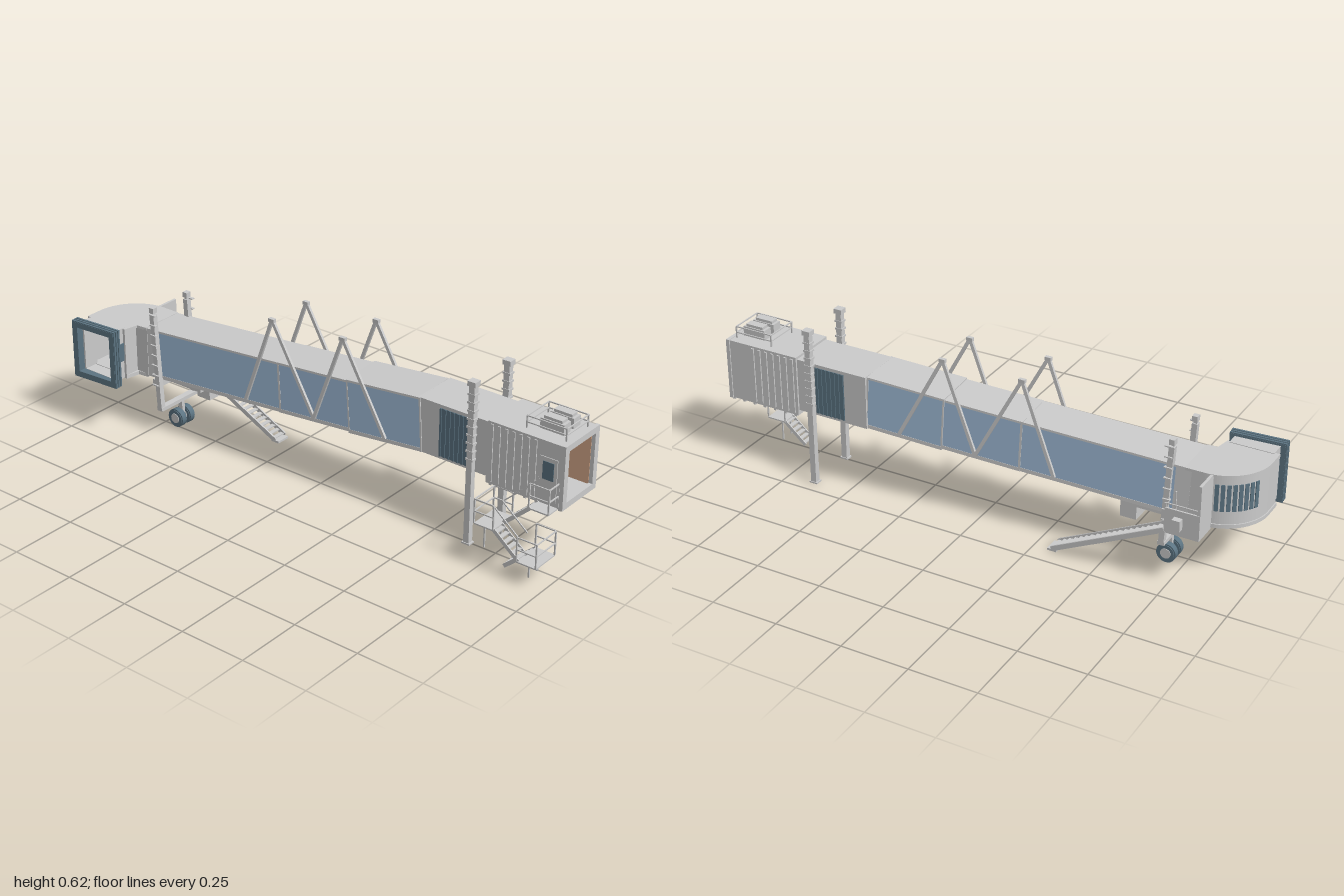
import * as THREE from 'three';

const mat = (color) => new THREE.MeshStandardMaterial({ color, side: THREE.DoubleSide });
const grey = mat(0xcccccc), glass = mat(0xa0bcd8), dark = mat(0x5c7482), tan = mat(0xd9ab8c);

export function createModel() {
  const model = new THREE.Group();
  const group = (name, parent = model) => {
    const g = new THREE.Group();
    g.name = name;
    parent.add(g);
    return g;
  };
  const add = (parent, name, geo, m = grey) => {
    const mesh = new THREE.Mesh(geo, m);
    mesh.name = name;
    parent.add(mesh);
    return mesh;
  };
  // box given by its low and high corner on each axis
  const box = (parent, name, x0, x1, y0, y1, z0, z1, m = grey) => {
    const mesh = add(parent, name, new THREE.BoxGeometry(x1 - x0, y1 - y0, z1 - z0), m);
    mesh.position.set((x0 + x1) / 2, (y0 + y1) / 2, (z0 + z1) / 2);
    return mesh;
  };
  // turn an object so its own x axis runs from a to b
  const aim = (obj, a, b) => {
    const [dx, dy, dz] = [b[0] - a[0], b[1] - a[1], b[2] - a[2]];
    obj.rotation.set(0, Math.atan2(-dz, dx), Math.atan2(dy, Math.hypot(dx, dz)), 'YZX');
    obj.position.set((a[0] + b[0]) / 2, (a[1] + b[1]) / 2, (a[2] + b[2]) / 2);
    return Math.hypot(dx, dy, dz);
  };
  const beam = (parent, name, a, b, h = 0.005, w = h, m = grey) => {
    const mesh = add(parent, name, new THREE.BoxGeometry(1, h, w), m);
    mesh.scale.x = aim(mesh, a, b);
    return mesh;
  };
  // open rectangular frame, extruded along z
  const ring = (w, h, t, d) => {
    const rect = (P, x, y) => new P([[-x, -y], [x, -y], [x, y], [-x, y]].map((p) => new THREE.Vector2(...p)));
    const s = rect(THREE.Shape, w / 2, h / 2);
    s.holes.push(rect(THREE.Path, w / 2 - t, h / 2 - t));
    return new THREE.ExtrudeGeometry(s, { depth: d, bevelEnabled: false }).translate(0, 0, -d / 2);
  };
  // rectangular guard rail around a platform
  const guard = (parent, x0, x1, y, h, z0, z1, open = '') => {
    const c = [[x0, z0], [x1, z0], [x1, z1], [x0, z1]];
    c.forEach(([x, z], i) => {
      beam(parent, 'railPost', [x, y, z], [x, y + h, z]);
      const [x2, z2] = c[(i + 1) % 4];
      if (open.includes('brfl'[i])) return;
      for (const k of [0.5, 1]) beam(parent, 'rail', [x, y + h * k, z], [x2, y + h * k, z2], 0.004);
    });
  };
  // flight of steps along x
  const flight = (parent, a, b, z, w, n, rail = 0) => {
    for (const s of [-1, 1]) {
      const zz = z + s * w / 2;
      beam(parent, 'stringer', [...a, zz], [...b, zz], 0.014, 0.004);
      if (rail) beam(parent, 'handrail', [a[0], a[1] + rail, zz], [b[0], b[1] + rail, zz], 0.004);
    }
    for (let i = 0; i < n; i++) {
      const t = (i + 0.5) / n, x = a[0] + (b[0] - a[0]) * t, y = a[1] + (b[1] - a[1]) * t;
      box(parent, 'tread', x - 0.008, x + 0.008, y - 0.002, y + 0.002, z - w / 2, z + w / 2);
    }
  };

  // telescopic tunnel: glazed sections sharing one sloping line
  const axis = [[-0.77, 0.314, -0.01], [-0.165, 0.343, -0.05], [0.13, 0.358, -0.069], [0.42, 0.376, -0.089]];
  [[0.17, 0.192], [0.172, 0.194], [0.178, 0.202]].forEach(([w, h], i) => {
    const g = group('tunnelSection' + (i + 1));
    const L = aim(g, axis[i], axis[i + 1]) / 2 + 0.004;
    box(g, 'roof', -L, L, h / 2 - 0.008, h / 2, -w / 2, w / 2);
    box(g, 'floor', -L, L, -h / 2, -h / 2 + 0.014, -w / 2, w / 2);
    for (const s of [-1, 1]) {
      const z = s * (w / 2 - 0.005);
      const start = i ? -L + 0.006 : -L + 0.055;
      box(g, 'glassWall', start, L - 0.006, -h / 2 + 0.014, h / 2 - 0.008, z - 0.004, z + 0.004, glass);
      box(g, 'endPanel', -L, start, -h / 2, h / 2, z - 0.005, z + 0.005);
      box(g, 'endFrame', L - 0.006, L, -h / 2, h / 2, z - 0.006, z + 0.006);
    }
  });

  // inverted V struts on both sides
  const struts = group('tunnelStruts');
  const zig = [[-0.3, 0.26], [-0.18, 0.602], [-0.005, 0.272], [0.115, 0.612], [0.29, 0.282]];
  for (const s of [-1, 1]) {
    const pts = zig.map(([x, y]) => [x, y, -0.061 - 0.066 * x + s * 0.093]);
    for (let i = 0; i < 4; i++) beam(struts, 'strut', pts[i], pts[i + 1], 0.012, 0.01);
    for (const [x, y, z] of [pts[1], pts[3]]) box(struts, 'strutCap', x - 0.012, x + 0.012, y - 0.008, y + 0.005, z - 0.007, z + 0.007);
  }

  // level corridor with slatted dark panels
  const corridor = group('corridor');
  add(corridor, 'corridorShell', ring(0.182, 0.202, 0.012, 0.29).rotateY(Math.PI / 2)).position.set(0.56, 0.376, -0.094);
  for (const z of [-0.003, -0.185]) {
    box(corridor, 'slatPanel', 0.505, 0.625, 0.285, 0.465, z - 0.002, z + 0.002, dark);
    for (let i = 0; i < 7; i++) box(corridor, 'slat', 0.506 + i * 0.0178, 0.513 + i * 0.0178, 0.285, 0.465, z - 0.005, z + 0.005, dark);
  }

  // support pillars
  for (const z of [0.006, -0.195]) {
    const g = group('supportPillar');
    box(g, 'pillar', 0.629, 0.651, 0, 0.6, z - 0.011, z + 0.011);
    box(g, 'pillarCap', 0.624, 0.656, 0.594, 0.612, z - 0.015, z + 0.015);
    box(g, 'pillarFoot', 0.624, 0.656, 0, 0.006, z - 0.014, z + 0.014);
    for (let i = 0; i < 9; i++) box(g, 'pinLug', 0.625, 0.655, 0.32 + i * 0.03, 0.327 + i * 0.03, z - 0.013, z + 0.013);
  }

  // terminal cabin with ribbed walls and tan lining
  const cabin = group('terminalCabin');
  add(cabin, 'cabinShell', ring(0.196, 0.23, 0.014, 0.29).rotateY(Math.PI / 2)).position.set(0.85, 0.371, -0.094);
  add(cabin, 'endFrame', ring(0.202, 0.234, 0.023, 0.014).rotateY(Math.PI / 2)).position.set(0.992, 0.371, -0.095);
  add(cabin, 'innerFrame', ring(0.196, 0.23, 0.03, 0.01).rotateY(Math.PI / 2)).position.set(0.705, 0.371, -0.094);
  box(cabin, 'sideLining', 0.72, 0.984, 0.272, 0.471, -0.177, -0.173, tan);
  box(cabin, 'ceilingLining', 0.72, 0.984, 0.466, 0.471, -0.177, -0.012, tan);
  for (const z of [0.004, -0.192])
    for (let i = 0; i < 7; i++) box(cabin, 'wallRib', 0.712 + i * 0.028, 0.723 + i * 0.028, 0.265, 0.478, z - 0.005, z + 0.004);
  box(cabin, 'door', 0.905, 0.972, 0.275, 0.43, 0.002, 0.007);
  box(cabin, 'doorWindow', 0.918, 0.96, 0.35, 0.415, 0.006, 0.009, dark);
  for (let i = 0; i < 7; i++) box(cabin, 'floorJoist', 0.71 + i * 0.045, 0.72 + i * 0.045, 0.248, 0.258, -0.19, 0);

  // roof units behind a guard rail
  const roof = group('roofEquipment');
  guard(roof, 0.825, 0.975, 0.485, 0.045, -0.16, -0.033);
  for (const z of [-0.125, -0.067]) {
    box(roof, 'roofUnit', 0.865, 0.955, 0.493, 0.53, z - 0.02, z + 0.02);
    box(roof, 'unitLid', 0.875, 0.945, 0.53, 0.54, z - 0.016, z + 0.016);
  }

  // switchback access stairs
  const stairs = group('accessStairs');
  const decks = [[0.905, 0.98, 0.258, 0, 0.058, 'bl'], [0.735, 0.81, 0.165, 0, 0.115, 'r'], [0.905, 0.98, 0.083, 0, 0.115, 'l']];
  for (const [x0, x1, y, z0, z1, open] of decks) {
    box(stairs, 'landing', x0, x1, y - 0.005, y, z0, z1);
    guard(stairs, x0, x1, y, 0.09, z0 + 0.003, z1, open);
  }
  flight(stairs, [0.81, 0.165], [0.91, 0.258], 0.03, 0.048, 6, 0.085);
  flight(stairs, [0.81, 0.165], [0.91, 0.083], 0.088, 0.048, 6, 0.085);
  flight(stairs, [0.82, 0.004], [0.91, 0.083], 0.03, 0.05, 6);
  for (const z of [0.01, 0.11]) beam(stairs, 'hangerPost', [0.775, 0.085, z], [0.775, 0.165, z]);
  for (const z of [0.006, 0.058]) beam(stairs, 'groundPost', [0.92, 0, z], [0.92, 0.083, z]);

  // curved aircraft cabin, drawn in plan (shape y is -z)
  const head = group('aircraftCabin');
  const plan = (r) => new THREE.Shape().moveTo(-0.83 - r, -0.135).lineTo(-0.83 - r, -0.07)
    .absarc(-0.83, -0.07, r, Math.PI, Math.PI / 2, true).lineTo(-0.76, r - 0.07);
  const raise = (s, y, h) => new THREE.ExtrudeGeometry(s, { depth: h, bevelEnabled: false, curveSegments: 16 }).rotateX(-Math.PI / 2).translate(0, y, 0);
  const slab = () => plan(0.168).lineTo(-0.76, -0.075).lineTo(-0.8, -0.08).lineTo(-0.81, -0.135);
  add(head, 'cabinFloor', raise(slab(), 0.212, 0.014));
  add(head, 'cabinRoof', raise(slab(), 0.402, 0.01));
  const wall = plan(0.164).lineTo(-0.76, 0.086).lineTo(-0.83, 0.086)
    .absarc(-0.83, -0.07, 0.156, Math.PI / 2, Math.PI, false).lineTo(-0.986, -0.135);
  add(head, 'curvedWall', raise(wall, 0.215, 0.19));
  box(head, 'innerWall', -0.82, -0.81, 0.215, 0.405, 0.075, 0.135);
  box(head, 'innerCorner', -0.82, -0.755, 0.215, 0.405, 0.067, 0.076);
  for (let i = 0; i < 8; i++) {
    const a = (105 + i * 7) * Math.PI / 180;
    const m = add(head, 'curvedWindow', new THREE.BoxGeometry(0.006, 0.1, 0.014), dark);
    m.position.set(-0.83 + 0.164 * Math.cos(a), 0.325, 0.07 - 0.164 * Math.sin(a));
    m.rotation.y = a;
  }
  box(head, 'rearWindow', -0.875, -0.835, 0.315, 0.375, -0.082, -0.078, glass);

  // neck and dark docking bumper
  add(head, 'neck', ring(0.16, 0.2, 0.01, 0.06)).position.set(-0.9, 0.314, 0.155);
  for (const x of [-0.819, -0.981]) box(head, 'neckWindow', x - 0.002, x + 0.002, 0.285, 0.355, 0.135, 0.16, dark);
  const bumper = group('dockingBumper');
  bumper.position.set(-0.9, 0.312, 0.193);
  bumper.rotation.y = 0.07;
  add(bumper, 'bumperCore', ring(0.192, 0.218, 0.02, 0.034), dark);
  for (const z of [-0.012, 0, 0.012]) add(bumper, 'bumperFold', ring(0.2, 0.226, 0.018, 0.008), dark).position.z = z;

  // wheeled lift carriage
  const lift = group('liftCarriage');
  for (const z of [0.08, -0.1]) {
    const s = Math.sign(z);
    beam(lift, 'liftColumn', [-0.692, 0.1, z], [-0.715, 0.48, z], 0.02, 0.02);
    beam(lift, 'liftScrew', [-0.715, 0.47, z], [-0.717, 0.505, z], 0.012, 0.012);
    box(lift, 'liftCap', -0.725, -0.705, 0.488, 0.508, z - 0.011, z + 0.011);
    for (let i = 0; i < 8; i++) box(lift, 'rung', -0.72, -0.692, 0.2 + i * 0.04, 0.204 + i * 0.04, z + s * 0.01 - 0.006, z + s * 0.01 + 0.006);
  }
  box(lift, 'crossBeam', -0.705, -0.68, 0.098, 0.112, -0.11, 0.09);
  box(lift, 'upperBeam', -0.72, -0.69, 0.195, 0.222, -0.11, 0.09);
  box(lift, 'bogie', -0.7, -0.68, 0.03, 0.1, -0.032, -0.018);
  box(lift, 'underDeck', -0.7, -0.53, 0.205, 0.225, -0.09, 0.04);
  box(lift, 'machineBox', -0.59, -0.53, 0.155, 0.21, -0.09, -0.008);
  for (const z of [-0.002, -0.046]) {
    const wheel = group('wheel', lift);
    wheel.position.set(-0.69, 0.036, z);
    const disc = (n, r, d, m) => add(wheel, n, new THREE.CylinderGeometry(r, r, d, 24).rotateX(Math.PI / 2), m);
    disc('tyre', 0.036, 0.022, dark);
    disc('tyreShoulder', 0.031, 0.027, dark);
    disc('hub', 0.019, 0.031, grey);
  }

  // service landing and steps behind the aircraft cabin
  const service = group('serviceStairs');
  box(service, 'landingDeck', -0.86, -0.73, 0.205, 0.215, -0.185, -0.09);
  box(service, 'tallPanel', -0.86, -0.85, 0.205, 0.41, -0.185, -0.09);
  box(service, 'lowPanel', -0.86, -0.735, 0.205, 0.3, -0.187, -0.181);
  box(service, 'controlBox', -0.8, -0.77, 0.235, 0.275, -0.21, -0.187);
  guard(service, -0.85, -0.735, 0.215, 0.1, -0.182, -0.1, 'rf');
  flight(service, [-0.735, 0.21], [-0.32, 0.01], -0.157, 0.055, 20);
  for (const z of [-0.185, -0.129]) beam(service, 'sideBeam', [-0.735, 0.213, z], [-0.325, 0.012, z], 0.018, 0.006);
  box(service, 'stairFoot', -0.34, -0.305, 0, 0.008, -0.185, -0.13);
  return model;
}
